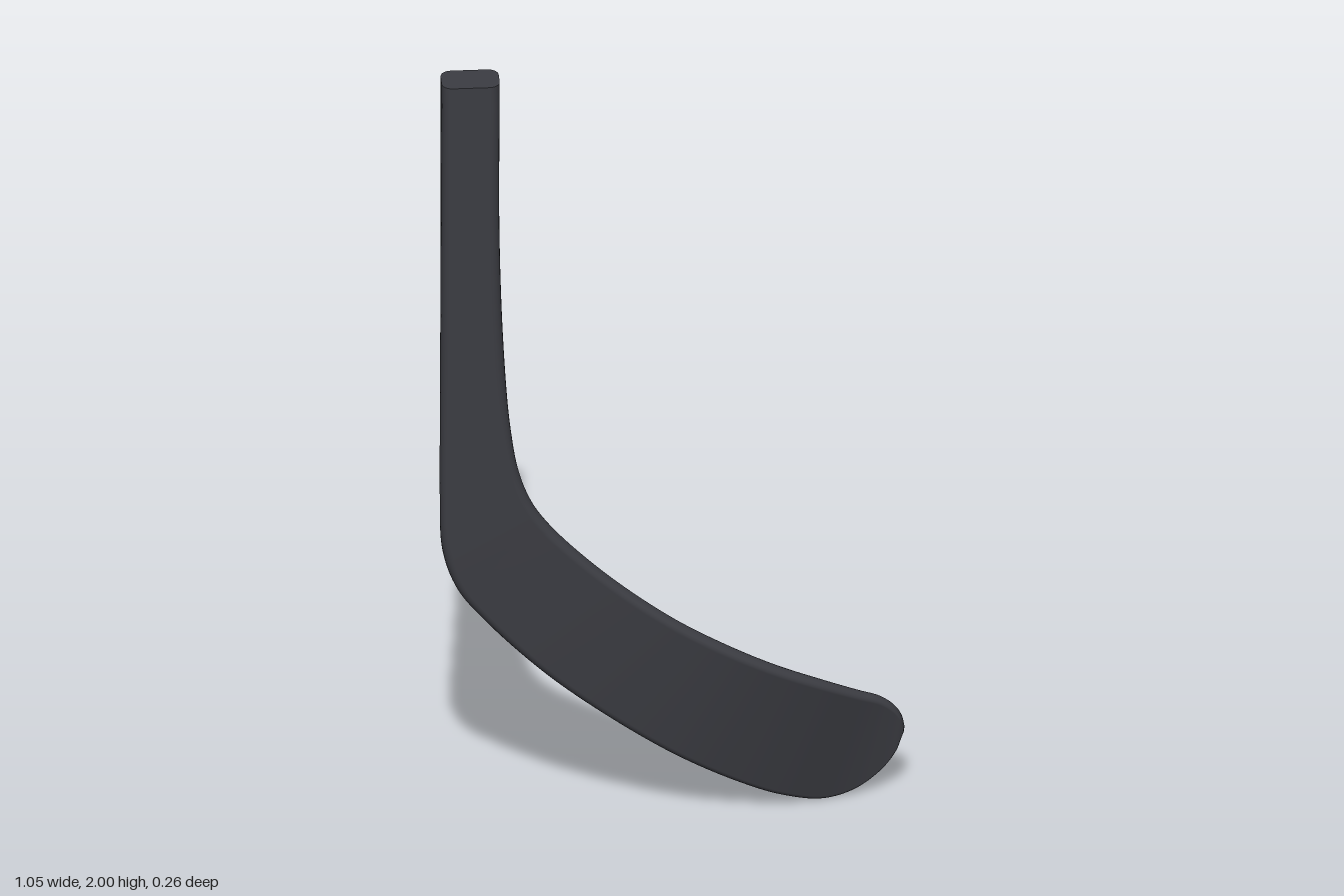
import * as THREE from 'three';

const curve = (pts) => new THREE.CatmullRomCurve3(pts.map((p) => new THREE.Vector3(...p)), false, 'centripetal');

// Heel-side edge, from the top of the shank round the heel and along the bottom to the toe
const outerEdge = curve([
  [-0.525, 2, 0.09], [-0.526, 1.6, 0.091], [-0.527, 1.3, 0.092], [-0.528, 1.08, 0.092], [-0.528, 0.93, 0.092],
  [-0.522, 0.79, 0.091], [-0.49, 0.69, 0.087], [-0.43, 0.605, 0.081], [-0.3, 0.46, 0.066], [-0.17, 0.34, 0.046],
  [0, 0.2, 0.008], [0.15, 0.093, -0.043], [0.25, 0.035, -0.08], [0.34, 0.005, -0.111], [0.41, 0.02, -0.121],
  [0.47, 0.068, -0.117], [0.505, 0.122, -0.106], [0.522, 0.175, -0.094],
]);
// Inner edge, from the top of the shank along the upper side of the blade to the toe
const innerEdge = curve([
  [-0.395, 2, 0.09], [-0.395, 1.6, 0.091], [-0.385, 1.3, 0.092], [-0.37, 1.1, 0.091], [-0.35, 0.98, 0.09],
  [-0.32, 0.9, 0.088], [-0.285, 0.845, 0.085], [-0.23, 0.78, 0.081], [-0.13, 0.68, 0.072], [0, 0.57, 0.057],
  [0.12, 0.485, 0.036], [0.23, 0.415, 0.011], [0.33, 0.358, -0.019], [0.42, 0.306, -0.053], [0.469, 0.279, -0.071],
  [0.5, 0.25, -0.081], [0.516, 0.222, -0.087], [0.523, 0.19, -0.092],
]);
// Thickness at the same stations
const thickness = curve([0.082, 0.066, 0.05, 0.043, 0.041, 0.04, 0.039, 0.038, 0.037, 0.036,
  0.036, 0.034, 0.032, 0.029, 0.027, 0.025, 0.022, 0.014].map((t, i) => [t, i * 0.1, 0]));

const RINGS = 136;
const ARC = 5; // steps per rounded corner

// Rounded-rectangle section as [across, through] pairs
function section(w, t) {
  const r = Math.min(0.024, t / 2, w / 2);
  const pts = [];
  [[1, 1], [-1, 1], [-1, -1], [1, -1]].forEach(([sx, sy], q) => {
    for (let k = 0; k <= ARC; k++) {
      const a = (q + k / ARC) * Math.PI / 2;
      pts.push([sx * (w / 2 - r) + r * Math.cos(a), sy * (t / 2 - r) + r * Math.sin(a)]);
    }
  });
  return pts;
}

function ring(u) {
  const a = outerEdge.getPoint(u), b = innerEdge.getPoint(u);
  const across = b.clone().sub(a);
  const width = across.length();
  across.normalize();
  const u0 = Math.max(0, u - 0.004), u1 = Math.min(1, u + 0.004);
  const along = outerEdge.getPoint(u1).add(innerEdge.getPoint(u1))
    .sub(outerEdge.getPoint(u0)).sub(innerEdge.getPoint(u0)).normalize();
  const through = along.cross(across).normalize();
  const mid = a.add(b).multiplyScalar(0.5);
  return section(width, thickness.getPoint(u).x)
    .map(([p, q]) => mid.clone().addScaledVector(across, p).addScaledVector(through, q));
}

function toGeometry(points, index) {
  const g = new THREE.BufferGeometry().setFromPoints(points);
  g.setIndex(index);
  g.computeVertexNormals();
  return g;
}

// Fan closing one ring
function capGeometry(loop, flip) {
  const n = loop.length, index = [];
  const centre = loop.reduce((s, p) => s.add(p), new THREE.Vector3()).divideScalar(n);
  for (let j = 0; j < n; j++) {
    const k = (j + 1) % n;
    index.push(n, ...(flip ? [k, j] : [j, k]));
  }
  return toGeometry([...loop, centre], index);
}

export function createModel() {
  const group = new THREE.Group();
  group.name = 'stickBlade';
  const material = new THREE.MeshStandardMaterial({ color: 0x3c3d43 });
  const add = (name, geometry) => {
    const mesh = new THREE.Mesh(geometry, material);
    mesh.name = name;
    group.add(mesh);
  };

  const rings = [];
  for (let i = 0; i <= RINGS; i++) rings.push(ring(i / RINGS));

  // Shank and blade as one continuous skin
  const n = rings[0].length, index = [];
  for (let i = 0; i < RINGS; i++) {
    for (let j = 0; j < n; j++) {
      const k = (j + 1) % n;
      const a = i * n + j, b = i * n + k, c = a + n, d = b + n;
      index.push(a, b, c, b, d, c);
    }
  }
  add('shankAndBlade', toGeometry(rings.flat(), index));
  add('shankTop', capGeometry(rings[0], true));
  add('toeTip', capGeometry(rings[RINGS], false));
  return group;
}
